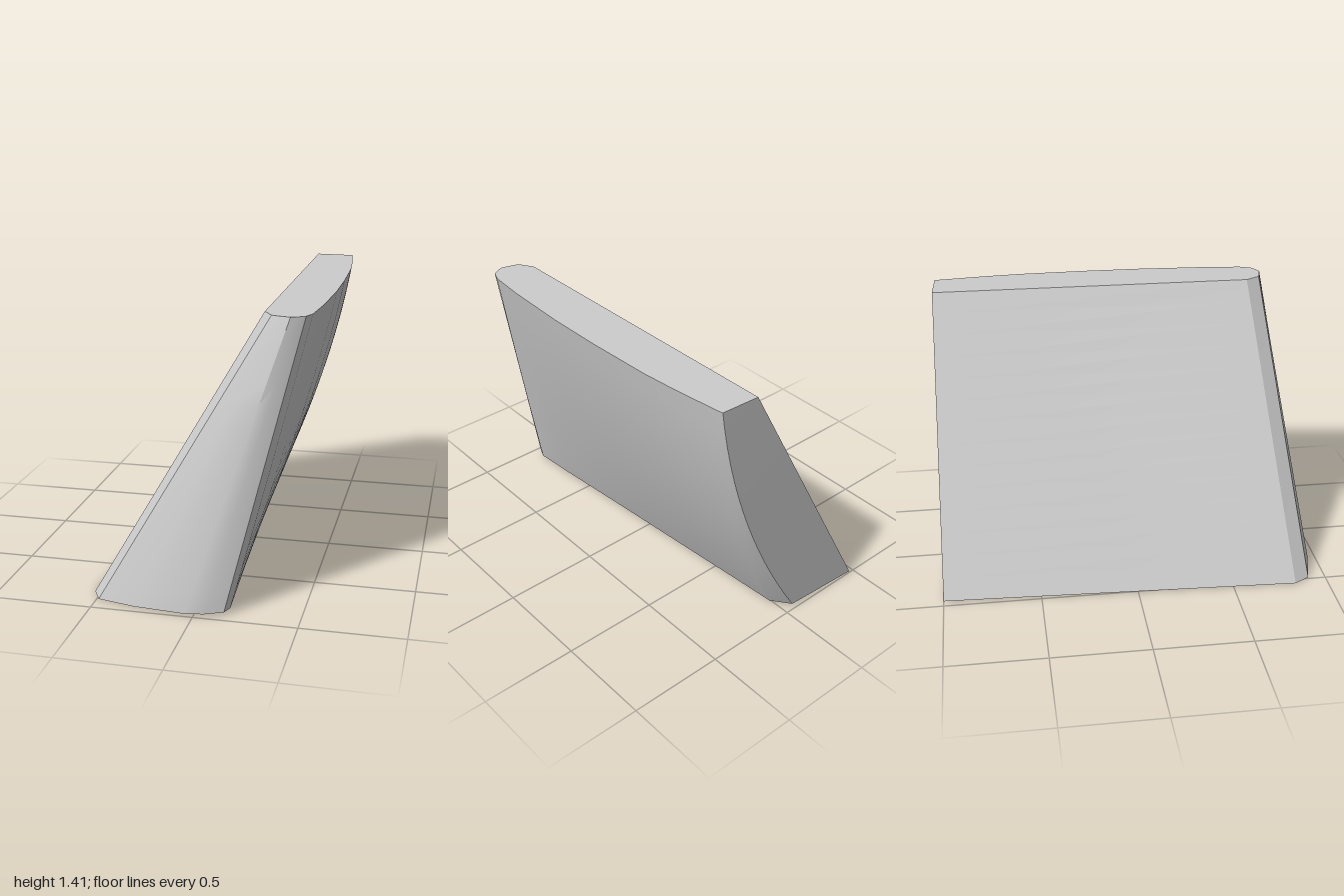
import * as THREE from 'three';
import { toCreasedNormals } from 'three/addons/utils/BufferGeometryUtils.js';

// Matching outline points: [bottom x, bottom z, top x, top z, sideways bulge]
const OUTLINE = [
  [-0.535, 0.83, 0.275, 0.69, 0],
  [-0.49, 0.91, 0.32, 0.765, 0],
  [-0.3, 0.96, 0.35, 0.775, 0],
  [-0.04, 0.995, 0.41, 0.79, 0],
  [0.05, 0.985, 0.44, 0.778, 0],
  [0.14, 0.95, 0.475, 0.755, 0],
  [0.16, 0.9, 0.497, 0.7, 0.005],
  [0.143, 0.65, 0.515, 0.5, 0.02],
  [0.11, 0.25, 0.53, 0.15, 0.035],
  [0.083, -0.1, 0.53, -0.15, 0.045],
  [0.056, -0.45, 0.52, -0.5, 0.055],
  [0.04, -0.65, 0.503, -0.7, 0.06],
  [0.022, -0.894, 0.475, -0.935, 0.065],
  [-0.05, -0.985, 0.47, -0.96, 0.085],
  [-0.47, -1, 0.27, -0.97, 0],
];
const LEVELS = 14;

// Leaning block lofted between the two outlines, with slightly tilted ends
function leaningBlock() {
  const positions = [], index = [];
  const n = OUTLINE.length;
  for (let k = 0; k <= LEVELS; k++) {
    const t = k / LEVELS;
    for (const [bx, bz, tx, tz, bulge] of OUTLINE) {
      const x = THREE.MathUtils.lerp(bx, tx, t) + bulge * 4 * t * (1 - t);
      const z = THREE.MathUtils.lerp(bz, tz, t);
      const yBottom = Math.max(0, 0.018 + 0.025 * bx - 0.004 * bz);
      const yTop = 1.408 - 0.003 * tz;
      positions.push(x, THREE.MathUtils.lerp(yBottom, yTop, t), z);
    }
  }
  // Side walls
  for (let k = 0; k < LEVELS; k++) {
    for (let i = 0; i < n; i++) {
      const j = (i + 1) % n;
      const a = k * n + i, b = k * n + j, c = a + n, d = b + n;
      index.push(a, b, d, a, d, c);
    }
  }
  // End faces
  const top = LEVELS * n;
  for (let i = 1; i < n - 1; i++) {
    index.push(0, i + 1, i);
    index.push(top, top + i, top + i + 1);
  }
  const geometry = new THREE.BufferGeometry();
  geometry.setAttribute('position', new THREE.Float32BufferAttribute(positions, 3));
  geometry.setIndex(index);
  return toCreasedNormals(geometry, 0.45);
}

export function createModel() {
  const group = new THREE.Group();
  group.name = 'leaningBlockModel';
  const block = new THREE.Mesh(
    leaningBlock(),
    new THREE.MeshStandardMaterial({ color: 0xcccccc })
  );
  block.name = 'leaningBlock';
  group.add(block);
  return group;
}
